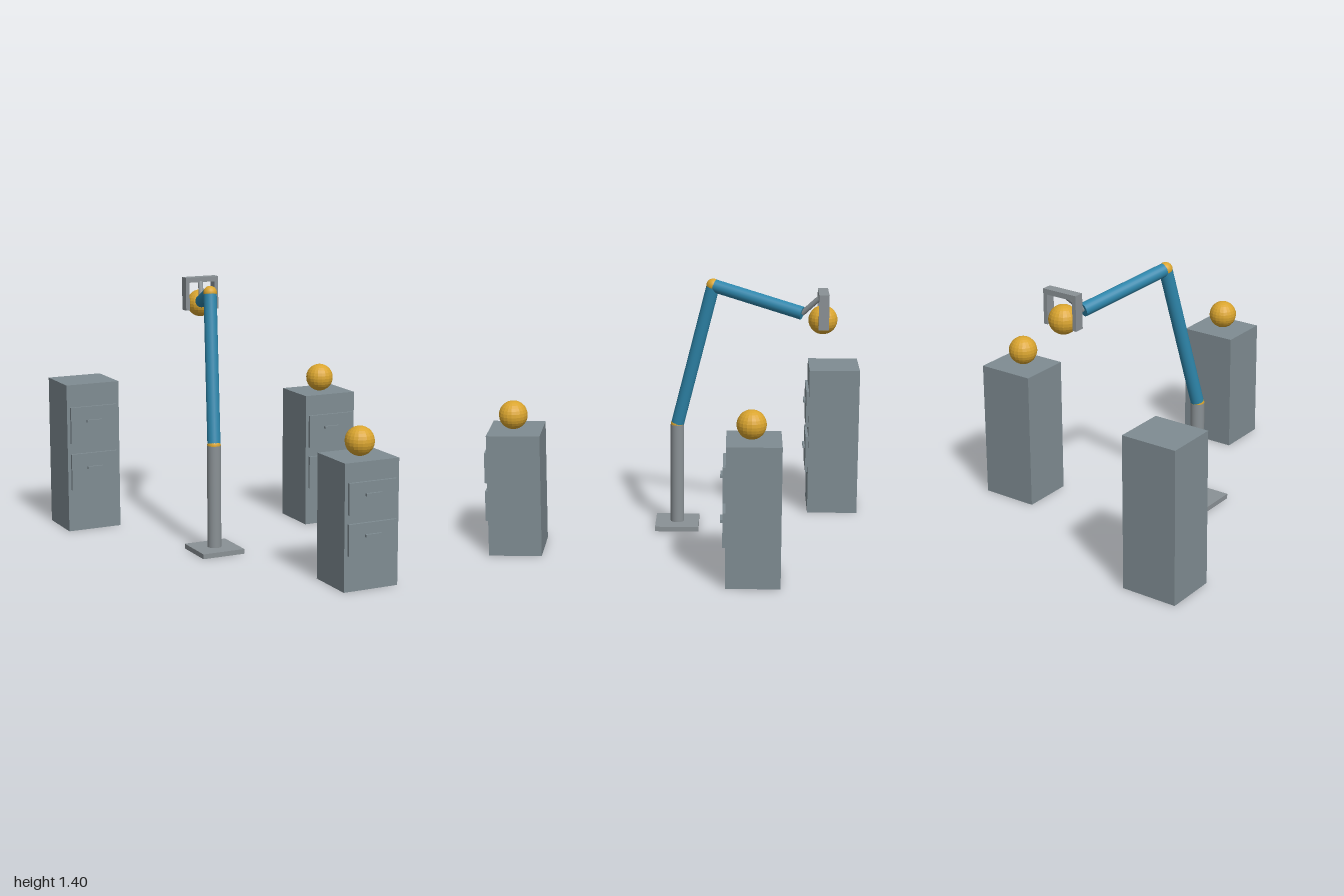
import * as THREE from 'three';

const mat = (name, color) => {
  const m = new THREE.MeshStandardMaterial({ color });
  m.name = name;
  return m;
};

export function createModel() {
  const root = new THREE.Group();
  root.name = 'robotArmWithCabinets';

  const cabinetGrey = mat('cabinetGrey', 0x7f8c92);
  const steel = mat('steel', 0x8a9195);
  const blue = mat('armBlue', 0x2e86ab);
  const gold = mat('gold', 0xdaa52f);
  const goldFaceted = gold.clone();
  goldFaceted.flatShading = true;

  const add = (parent, name, geo, material, x, y, z) => {
    const m = new THREE.Mesh(geo, material);
    m.name = name;
    m.position.set(x, y, z);
    parent.add(m);
    return m;
  };
  const box = (parent, name, w, h, d, material, x, y, z) =>
    add(parent, name, new THREE.BoxGeometry(w, h, d), material, x, y, z);
  const ball = (parent, name, r, material, p) =>
    add(parent, name, new THREE.SphereGeometry(r, 20, 14), material, p.x, p.y, p.z);

  // Round bar between two points
  const bar = (parent, name, a, b, r, material) => {
    const dir = b.clone().sub(a);
    const mid = a.clone().add(b).multiplyScalar(0.5);
    const m = add(parent, name, new THREE.CylinderGeometry(r, r, dir.length(), 24), material, mid.x, mid.y, mid.z);
    m.quaternion.setFromUnitVectors(new THREE.Vector3(0, 1, 0), dir.normalize());
    return m;
  };
  const v = (x, y, z) => new THREE.Vector3(x, y, z);

  // Cabinets: x centre, front face z, height, ball on top
  const W = 0.306, D = 0.278, R = 0.0755;
  const cabinets = [
    ['backCabinet', -0.622, -0.724, 0.823, false],
    ['frontCabinet', 0.168, 0.972, 0.652, true],
    ['sideCabinet', 0.621, -0.272, 0.735, true],
  ];
  for (const [name, x, z, h, hasBall] of cabinets) {
    const g = new THREE.Group();
    g.name = name;
    g.position.set(x, 0, z);
    root.add(g);
    box(g, 'cabinetBody', W, h, D, cabinetGrey, 0, h / 2, -D / 2);
    for (const k of [0.725, 0.407]) {
      box(g, 'drawerFront', 0.27, 0.247 * h, 0.015, cabinetGrey, 0, k * h, 0.0075);
      box(g, 'drawerHandle', 0.089, 0.014, 0.013, cabinetGrey, 0, (k + 0.025) * h, 0.0215);
    }
    if (hasBall) ball(g, 'ball', R, goldFaceted, v(0, h + R, -0.126));
  }

  // Pedestal
  const shoulder = v(-0.228, 0.577, 0);
  const elbow = v(-0.156, 1.36, -0.192);
  const wrist = v(0.012, 1.248, -0.66);
  const palm = v(0.054, 1.357, -0.767);
  box(root, 'basePlate', 0.239, 0.026, 0.237, steel, shoulder.x, 0.013, 0);
  bar(root, 'column', v(shoulder.x, 0.026, 0), shoulder, 0.037, steel);

  // Arm with ball joints
  ball(root, 'shoulderJoint', 0.0365, gold, shoulder);
  bar(root, 'upperArm', shoulder, elbow, 0.035, blue);
  ball(root, 'elbowJoint', 0.0365, gold, elbow);
  bar(root, 'forearm', elbow, wrist, 0.035, blue);
  bar(root, 'wristRod', wrist, palm, 0.014, steel);

  // Gripper holding a ball
  const gripper = new THREE.Group();
  gripper.name = 'gripper';
  gripper.position.copy(palm);
  root.add(gripper);
  box(gripper, 'palm', 0.199, 0.028, 0.053, steel, 0, 0, 0);
  for (const s of [-1, 1]) {
    box(gripper, 'finger', 0.022, 0.156, 0.053, steel, s * 0.0885, -0.092, 0);
  }
  ball(root, 'heldBall', R, goldFaceted, v(0.053, 1.223, -0.766));

  return root;
}
